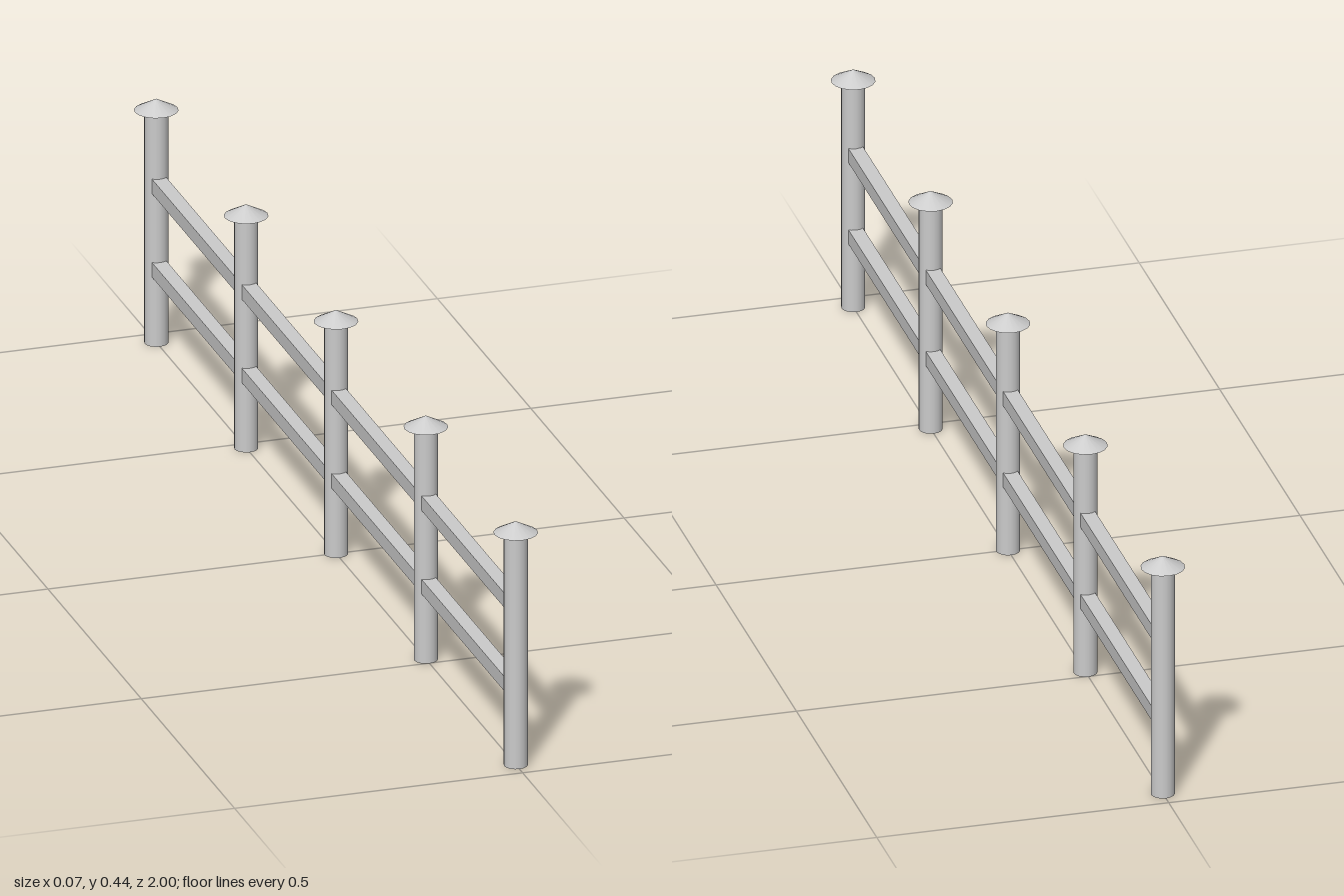
import * as THREE from 'three';

const POSTS = 5, SPACING = 0.4815, SIDES = 16;
const POST_R = 0.02, POST_H = 0.415, CAP_R = 0.037, CAP_H = 0.02;
const RAIL_W = 0.025, RAIL_H = 0.026, RAIL_HEIGHTS = [0.137, 0.286];

export function createModel() {
  const fence = new THREE.Group();
  fence.name = 'fence';
  const material = new THREE.MeshStandardMaterial({ color: 0xcccccc });

  const add = (parent, name, geometry, y) => {
    const mesh = new THREE.Mesh(geometry, material);
    mesh.name = name;
    mesh.position.y = y;
    parent.add(mesh);
  };

  // Round posts with shallow conical caps
  const postGeometry = new THREE.CylinderGeometry(POST_R, POST_R, POST_H, SIDES);
  const capGeometry = new THREE.ConeGeometry(CAP_R, CAP_H, SIDES);
  for (let i = 0; i < POSTS; i++) {
    const post = new THREE.Group();
    post.name = `fencePost${i + 1}`;
    post.position.z = (i - (POSTS - 1) / 2) * SPACING;
    add(post, 'post', postGeometry, POST_H / 2);
    add(post, 'cap', capGeometry, POST_H + CAP_H / 2);
    fence.add(post);
  }

  // Square rails running through all posts and ending inside the outer ones
  const railGeometry = new THREE.BoxGeometry(RAIL_W, RAIL_H, (POSTS - 1) * SPACING);
  RAIL_HEIGHTS.forEach((y, i) => add(fence, i ? 'upperRail' : 'lowerRail', railGeometry, y));

  return fence;
}
